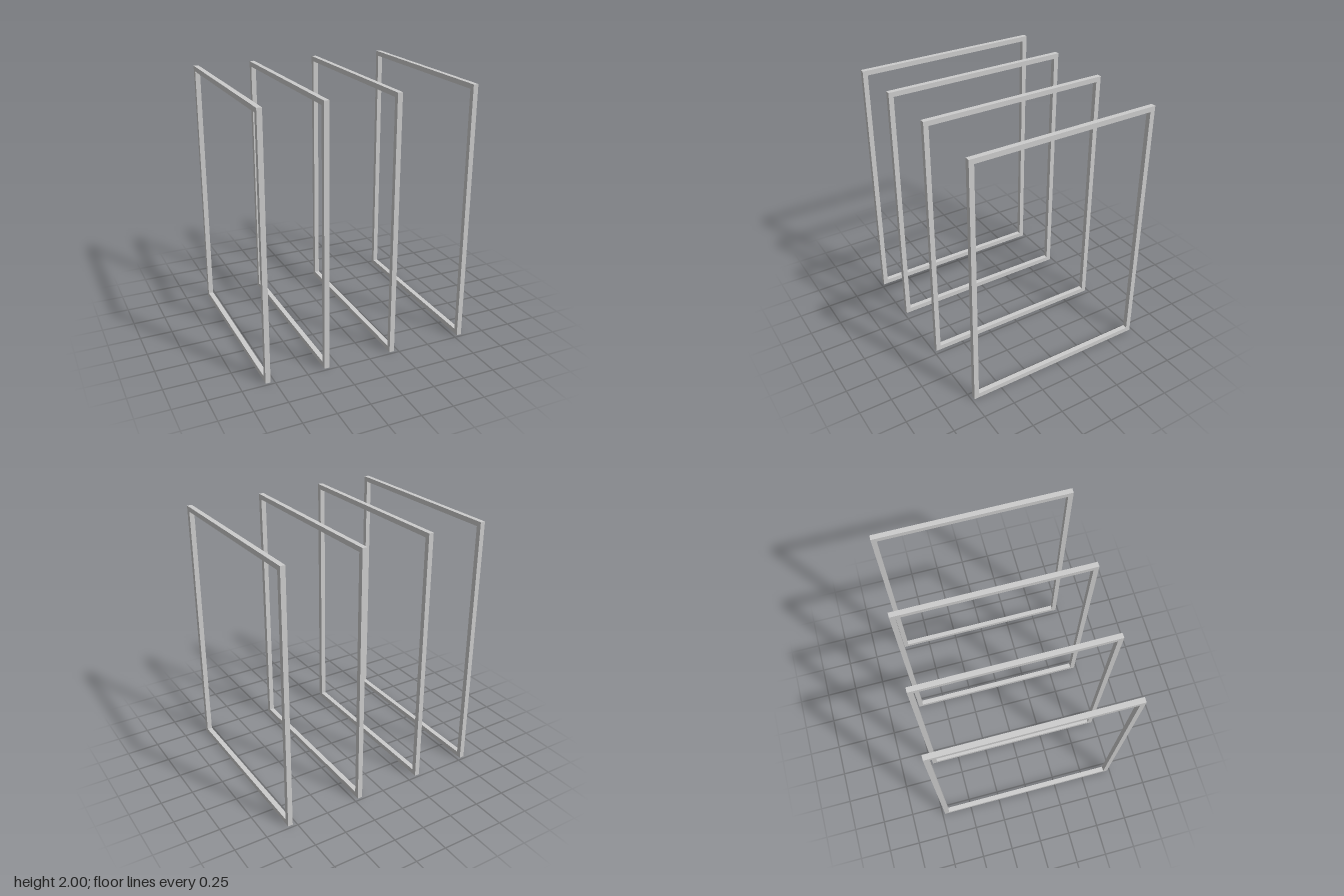
import * as THREE from 'three';

const HEIGHT = 2, HALF_DEPTH = 0.729, BAR = 0.038;

// Closed rectangle path, inset from the outer frame edge
function rectangle(PathType, inset) {
  const w = HALF_DEPTH - inset, bottom = inset, top = HEIGHT - inset;
  return new PathType([
    new THREE.Vector2(-w, bottom), new THREE.Vector2(w, bottom),
    new THREE.Vector2(w, top), new THREE.Vector2(-w, top),
  ]);
}

export function createModel() {
  const model = new THREE.Group();
  model.name = 'frameRow';
  const material = new THREE.MeshStandardMaterial({ color: 0xcccccc, flatShading: true });

  // Rectangular frame of square bar, turned to stand in the yz plane
  const shape = rectangle(THREE.Shape, 0);
  shape.holes.push(rectangle(THREE.Path, BAR));
  const geometry = new THREE.ExtrudeGeometry(shape, { depth: BAR, bevelEnabled: false });
  geometry.translate(0, 0, -BAR / 2);
  geometry.rotateY(Math.PI / 2);

  // Four upright frames with widening gaps from right to left
  [-0.799, -0.342, 0.198, 0.799].forEach((x, i) => {
    const frame = new THREE.Mesh(geometry, material);
    frame.name = `frame${i + 1}`;
    frame.position.x = x;
    model.add(frame);
  });
  return model;
}
